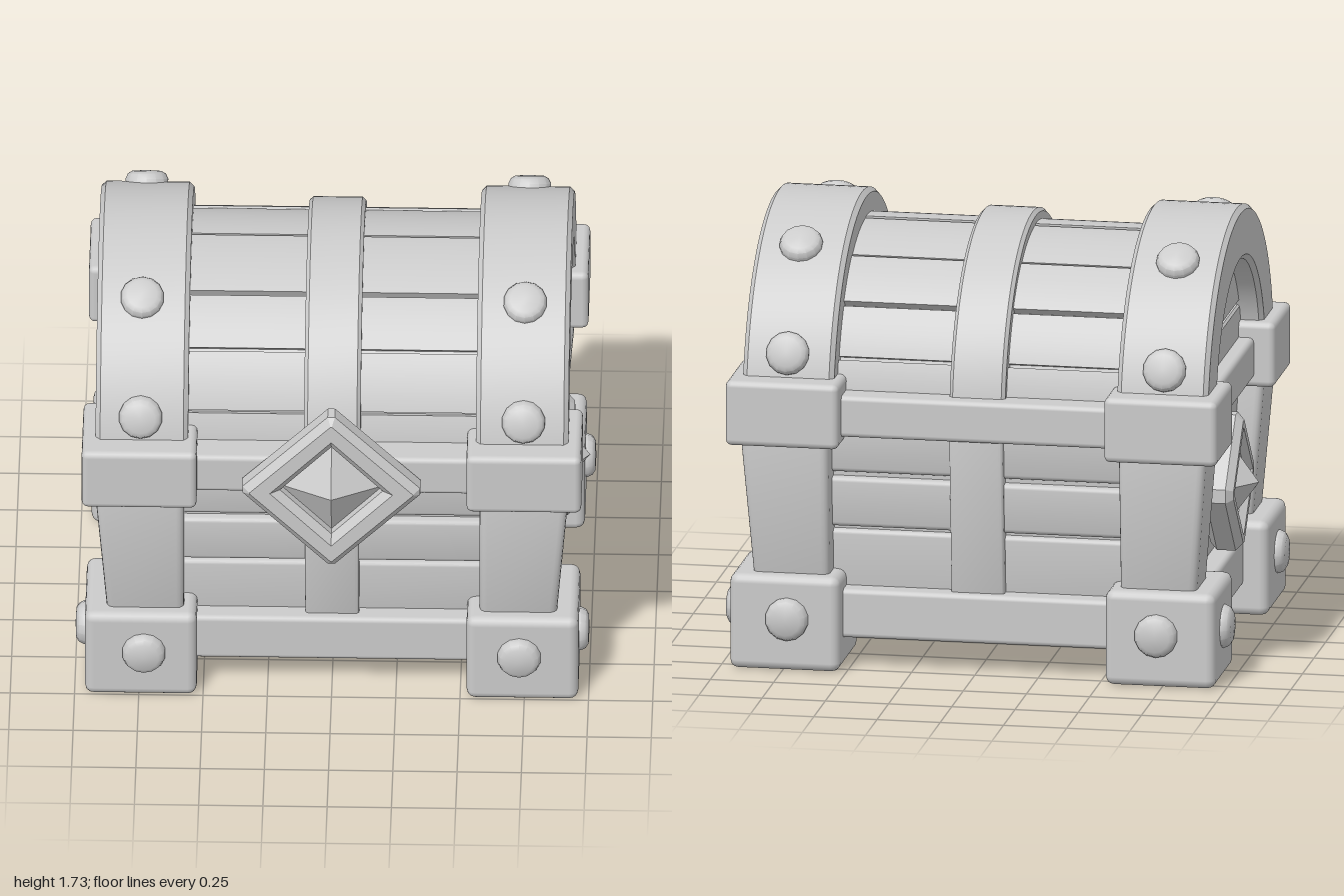
import * as THREE from 'three';
import { toCreasedNormals } from 'three/addons/utils/BufferGeometryUtils.js';
import { RoundedBoxGeometry } from 'three/addons/geometries/RoundedBoxGeometry.js';

const LID_Y = 1.0; // height of the lid's arc centre
const grey = new THREE.MeshStandardMaterial({ color: 0xcccccc });
const faceted = new THREE.MeshStandardMaterial({ color: 0xcccccc, flatShading: true });

function add(parent, name, geometry, material = grey) {
  const mesh = new THREE.Mesh(geometry, material);
  mesh.name = name;
  parent.add(mesh);
  return mesh;
}

// Soft-edged box given by its extents
function block(x0, x1, y0, y1, z0, z1, r = 0.02) {
  return new RoundedBoxGeometry(x1 - x0, y1 - y0, z1 - z0, 2, r)
    .translate((x0 + x1) / 2, (y0 + y1) / 2, (z0 + z1) / 2);
}

// Lean the outer walls inward toward the bottom
function lean(geometry) {
  const p = geometry.attributes.position;
  for (let i = 0; i < p.count; i++) {
    const x = p.getX(i), z = p.getZ(i), d = 0.08 * (0.92 - p.getY(i));
    if (Math.abs(x) > 0.7) p.setX(i, x - Math.sign(x) * d);
    if (Math.abs(z) > 0.6) p.setZ(i, z - Math.sign(z) * d);
  }
  geometry.computeVertexNormals();
  return toCreasedNormals(geometry, 0.6);
}

// Bevelled extrusion, centred on z, with the outline kept at full size
function bevelled(shape, thickness, bevel) {
  const g = new THREE.ExtrudeGeometry(shape, {
    depth: thickness - 2 * bevel, bevelEnabled: true, bevelSegments: 1,
    bevelSize: bevel, bevelThickness: bevel, bevelOffset: -bevel, curveSegments: 28,
  });
  g.translate(0, 0, bevel - thickness / 2);
  return toCreasedNormals(g, 0.5);
}

// The same, running along x with the shape drawn in z and y
function alongX(shape, x0, x1, bevel) {
  return bevelled(shape, x1 - x0, bevel).rotateY(-Math.PI / 2).translate((x0 + x1) / 2, 0, 0);
}

// Part of a ring around the lid centre
function sector(inner, outer, a0, a1) {
  const s = new THREE.Shape();
  s.absarc(0, LID_Y, outer, a0, a1, false);
  s.absarc(0, LID_Y, inner, a1, a0, true);
  s.closePath();
  return s;
}

// Slice of the round end wall between two heights
function endSlice(y0, y1, r) {
  const right = [];
  for (let i = 0; i <= 8; i++) {
    const y = y0 + (y1 - y0) * i / 8;
    right.push(new THREE.Vector2(Math.sqrt(Math.max(r * r - (y - LID_Y) ** 2, 0.0004)), y));
  }
  const left = right.map(p => new THREE.Vector2(-p.x, p.y)).reverse();
  return new THREE.Shape([...right, ...left]);
}

// Diamond with clipped tips
function diamond(w, h, cut) {
  const c = cut / w, k = 1 - c;
  return new THREE.Shape([
    [k, -c], [k, c], [c, k], [-c, k], [-k, c], [-k, -c], [-c, -k], [c, -k],
  ].map(([x, y]) => new THREE.Vector2(x * w, y * h)));
}

// Framed pyramid gem facing +z
function emblem(name, w, h, holeW, holeH, depth, tip, cut) {
  const group = new THREE.Group();
  group.name = name;
  const shape = diamond(w, h, cut);
  shape.holes.push(new THREE.Path(
    [[holeW, 0], [0, -holeH], [-holeW, 0], [0, holeH]].map(p => new THREE.Vector2(...p))));
  add(group, 'gemFrame', bevelled(shape, depth, 0.028).translate(0, 0, depth / 2));
  const gemDepth = tip - depth * 0.35;
  const gem = new THREE.ConeGeometry(1, gemDepth, 4).rotateX(Math.PI / 2);
  gem.scale(holeW + 0.02, holeH + 0.02, 1).translate(0, 0, tip - gemDepth / 2);
  add(group, 'gem', gem, faceted);
  return group;
}

const rivetGeometry = toCreasedNormals(new THREE.LatheGeometry(
  [[0.085, -0.02], [0.085, 0.015], [0.076, 0.034], [0.058, 0.045], [0, 0.048]]
    .map(p => new THREE.Vector2(...p)), 14), 0.6);

function rivet(parent, position, direction) {
  const m = add(parent, 'rivet', rivetGeometry);
  m.position.set(...position);
  m.quaternion.setFromUnitVectors(new THREE.Vector3(0, 1, 0), new THREE.Vector3(...direction).normalize());
}

export function createModel() {
  const model = new THREE.Group();
  model.name = 'chest';
  const chest = new THREE.Group();
  chest.name = 'chestParts';
  chest.position.z = -0.03;
  model.add(chest);

  // Body: solid core and three rows of planks
  add(chest, 'bodyCore', lean(block(-0.8, 0.8, 0.13, 1.05, -0.64, 0.64)));
  [[0.2, 0.54, 0], [0.555, 0.755, 0.01], [0.775, 1.0, 0]].forEach(([y0, y1, o]) =>
    add(chest, 'bodyPlanks', lean(block(-0.825 - o, 0.825 + o, y0, y1, -0.67 - o, 0.67 + o, 0.018))));

  // Rails around the base and rim
  add(chest, 'baseRail', block(-0.86, 0.86, 0.12, 0.315, -0.7, 0.7, 0.02));
  add(chest, 'rimRail', block(-0.89, 0.89, 0.935, 1.1, -0.74, 0.74, 0.02));

  // Upright straps at front and back
  for (const s of [-1, 1]) {
    const z = s * 0.67;
    add(chest, 'uprightStrap', lean(block(-0.105, 0.105, 0.28, 0.96, z - 0.04, z + 0.04, 0.015)));
  }

  // Corners: foot, post, bracket and rivets
  for (const sx of [-1, 1]) for (const sz of [-1, 1]) {
    const corner = new THREE.Group();
    corner.name = 'corner';
    chest.add(corner);
    const part = (name, x0, x1, y0, y1, z0, z1, r, fit = g => g) => add(corner, name, fit(block(
      Math.min(sx * x0, sx * x1), Math.max(sx * x0, sx * x1), y0, y1,
      Math.min(sz * z0, sz * z1), Math.max(sz * z0, sz * z1), r)));
    part('foot', 0.525, 0.96, 0, 0.38, 0.375, 0.79, 0.035);
    part('post', 0.575, 0.92, 0.34, 0.95, 0.49, 0.775, 0.03, lean);
    part('bracket', 0.525, 0.972, 0.9, 1.16, 0.45, 0.815, 0.025);
    rivet(corner, [sx * 0.73, 0.21, sz * 0.79], [0, 0, sz]);
    rivet(corner, [sx * 0.952, 0.21, sz * 0.592], [sx, 0, 0]);
  }

  // Lid: core, long planks, centre strap
  const lid = new THREE.Group();
  lid.name = 'lid';
  chest.add(lid);
  add(lid, 'lidCore', alongX(sector(0.01, 0.6, 0, Math.PI), -0.78, 0.78, 0.004));
  const seams = [0, 20, 42, 63, 91, 119, 140, 160, 180];
  const radii = [0.628, 0.642, 0.63, 0.638, 0.634, 0.642, 0.63, 0.642];
  radii.forEach((r, i) => {
    const a0 = THREE.MathUtils.degToRad(seams[i]) + 0.012;
    const a1 = THREE.MathUtils.degToRad(seams[i + 1]) - 0.012;
    add(lid, 'lidPlank', alongX(sector(0.54, r, a0, a1), -0.62, 0.62, 0.012));
  });
  add(lid, 'lidStrap', alongX(sector(0.55, 0.682, -0.05, Math.PI + 0.05), -0.11, 0.11, 0.014));

  // Lid ends: arched band, recessed planks, rivets
  for (const s of [-1, 1]) {
    const band = alongX(sector(0.518, 0.732, -0.05, Math.PI + 0.05), 0.56, 0.92, 0.018);
    add(lid, 'endBand', band.translate(s < 0 ? -1.48 : 0, 0, 0));
    [[1.02, 1.228], [1.243, 1.418], [1.432, 1.545]].forEach(([y0, y1]) =>
      add(lid, 'endPlank', alongX(endSlice(y0, y1, 0.55), s * 0.8 - 0.03, s * 0.8 + 0.03, 0.008)));
    for (const deg of [20, 57, 123, 160]) {
      const a = THREE.MathUtils.degToRad(deg), c = Math.cos(a), n = Math.sin(a);
      rivet(lid, [s * 0.745, LID_Y + 0.727 * n, 0.727 * c], [0, n, c]);
    }
  }

  // Clasp emblem on the front, with its backing, and one emblem on each side
  const clasp = emblem('frontEmblem', 0.36, 0.36, 0.2, 0.205, 0.115, 0.155, 0.014);
  add(clasp, 'claspBacking', bevelled(diamond(0.28, 0.28, 0.02), 0.1, 0.01).translate(0, 0, -0.03));
  clasp.position.set(0, 1, 0.725);
  chest.add(clasp);
  for (const s of [-1, 1]) {
    const side = emblem('sideEmblem', 0.275, 0.3, 0.165, 0.178, 0.13, 0.19, 0.025);
    side.position.set(s * 0.8, 0.635, 0.015);
    side.rotation.y = s * Math.PI / 2;
    chest.add(side);
  }
  return model;
}
